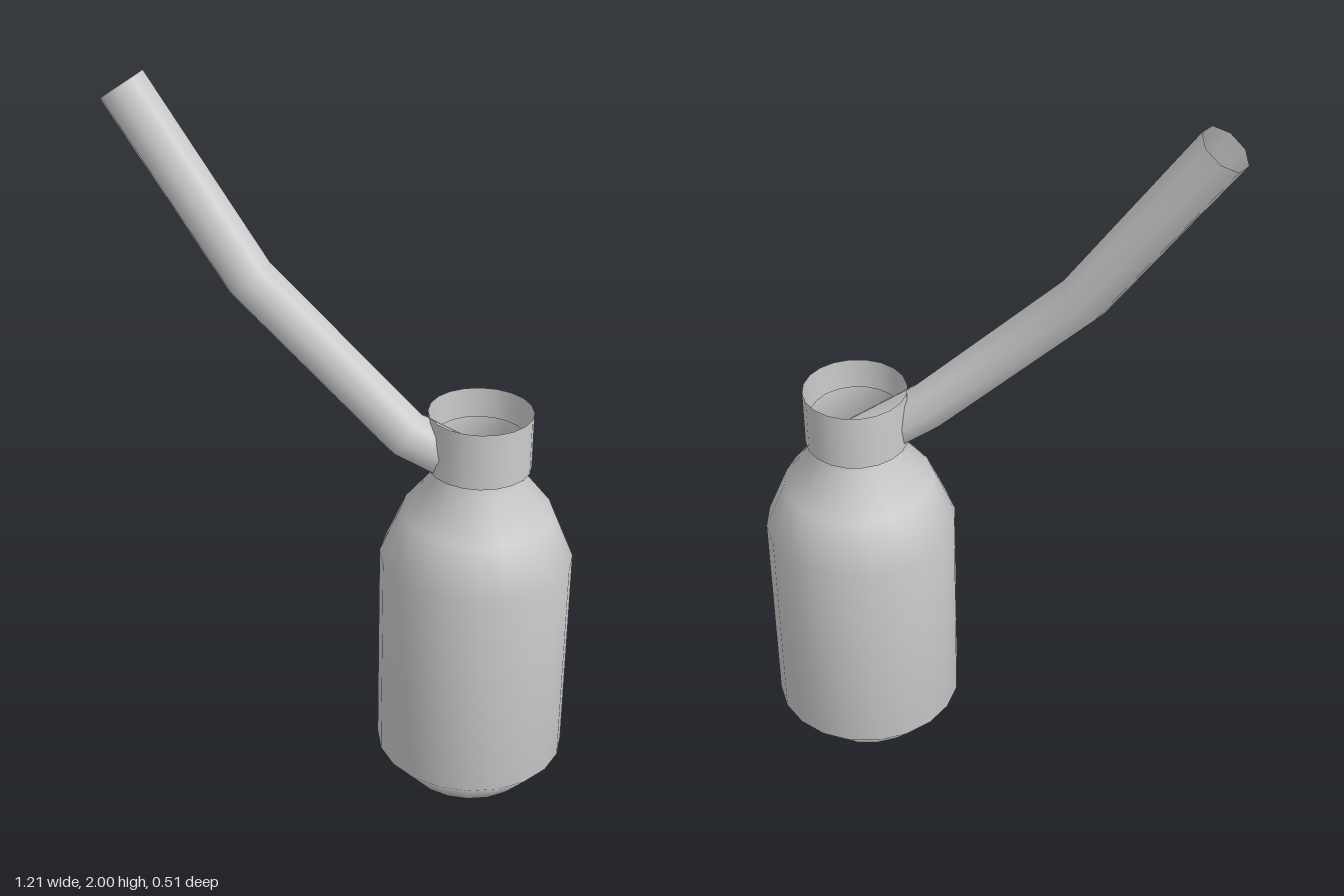
import * as THREE from 'three';

// Straight-sided path whose samples land exactly on its corners
class BentPath extends THREE.Curve {
  constructor(points) {
    super();
    this.points = points;
  }
  getPoint(t, target = new THREE.Vector3()) {
    const s = t * (this.points.length - 1);
    const i = Math.min(Math.floor(s + 1e-6), this.points.length - 2);
    return target.lerpVectors(this.points[i], this.points[i + 1], s - i);
  }
  getPointAt(u, target) {
    return this.getPoint(u, target);
  }
  // At a corner the tangent bisects the two neighbouring segments
  getTangentAt(u, target = new THREE.Vector3()) {
    const p = this.points, last = p.length - 1, i = Math.round(u * last);
    target.set(0, 0, 0);
    if (i > 0) target.add(p[i].clone().sub(p[i - 1]).normalize());
    if (i < last) target.add(p[i + 1].clone().sub(p[i]).normalize());
    return target.normalize();
  }
}

export function createModel() {
  const model = new THREE.Group();
  const material = new THREE.MeshStandardMaterial({ color: 0xcccccc, side: THREE.DoubleSide });
  const sides = 20;
  const axisX = 0.345;

  const add = (name, geometry, x = 0, y = 0) => {
    const mesh = new THREE.Mesh(geometry, material);
    mesh.name = name;
    mesh.position.set(x, y, 0);
    model.add(mesh);
  };

  // Thin-walled bottle, open at the neck and with a small hole in the base
  const profile = [
    [0.046, 0], [0.174, 0.048], [0.256, 0.14], [0.256, 0.735],
    [0.2, 0.868], [0.121, 0.968], [0.121, 1.08],
  ].map(([r, y]) => new THREE.Vector2(r, y));
  add('bottle', new THREE.LatheGeometry(profile, sides), axisX);

  // Loose open collar around the neck
  add('collar', new THREE.CylinderGeometry(0.136, 0.136, 0.155, sides, 1, true), axisX, 1.0775);

  // Bent hollow pipe entering the neck from the side
  const path = new BentPath([
    new THREE.Vector3(0.35, 0.985, 0),
    new THREE.Vector3(0.155, 1.105, 0.035),
    new THREE.Vector3(-0.24, 1.5, -0.018),
    new THREE.Vector3(-0.55, 1.963, -0.1),
  ]);
  add('pipe', new THREE.TubeGeometry(path, 3, 0.066, 8, false));

  return model;
}
